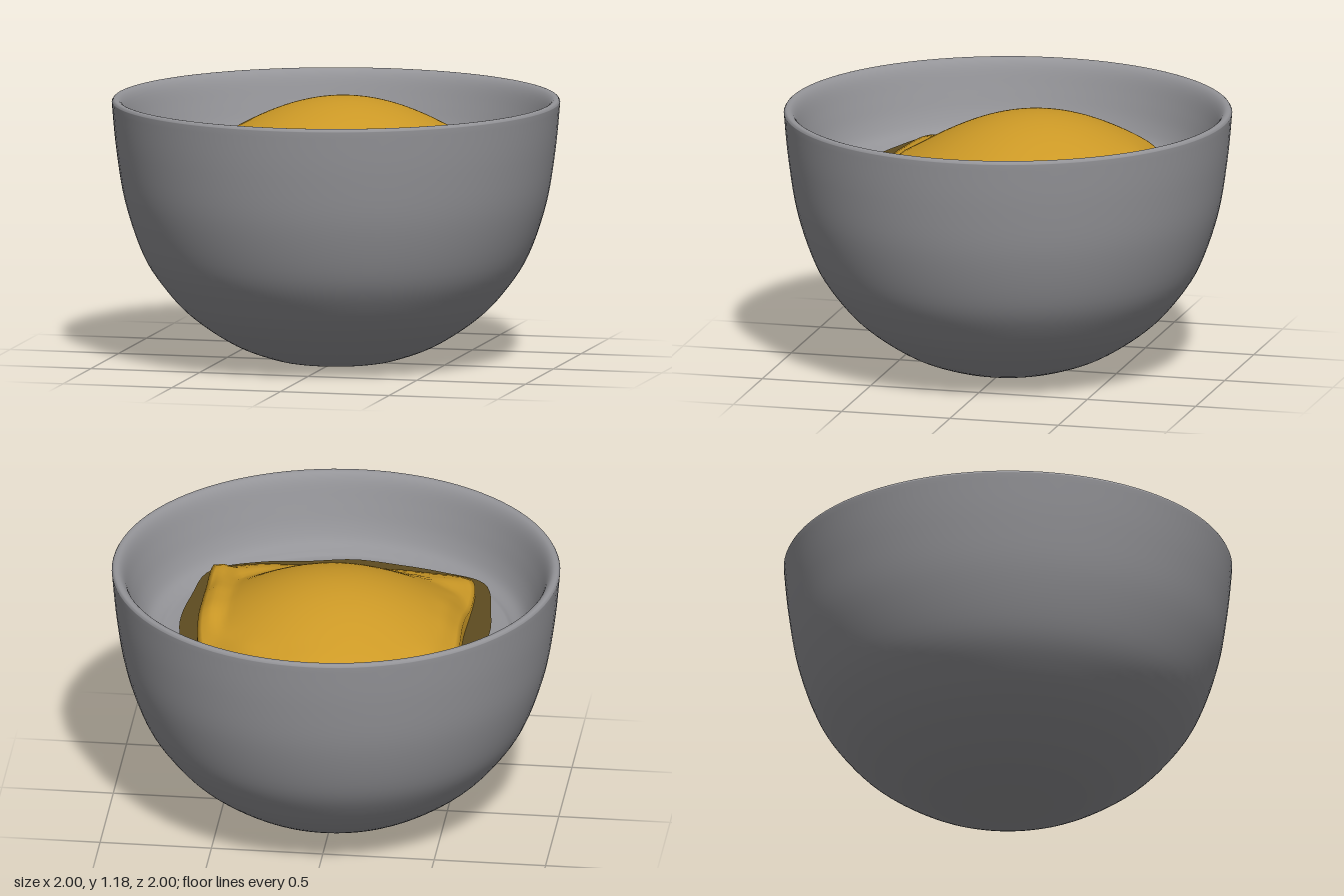
import * as THREE from 'three';

const CENTRE_Z = -0.08;

// Surface made of rings growing from a centre point to a smooth closed outline
function loftOutline(outline, rings, segments, height, skirtY) {
  const curve = new THREE.CatmullRomCurve3(
    outline.map(([x, z]) => new THREE.Vector3(x, 0, z)), true);
  const edge = Array.from({ length: segments }, (_, i) => curve.getPoint(i / segments));
  const pos = [];
  const index = [];
  const total = skirtY === undefined ? rings : rings + 1;
  for (let r = 0; r <= total; r++) {
    const s = Math.min(r / rings, 1);
    for (const p of edge) {
      const x = p.x * s;
      const z = CENTRE_Z + (p.z - CENTRE_Z) * s;
      pos.push(x, r > rings ? skirtY : height(x, z, s), z);
    }
  }
  for (let r = 0; r < total; r++) {
    for (let i = 0; i < segments; i++) {
      const j = (i + 1) % segments;
      const a = r * segments + i, b = r * segments + j;
      const c = a + segments, d = b + segments;
      if (r > 0) index.push(a, b, d);
      index.push(a, d, c);
    }
  }
  const geometry = new THREE.BufferGeometry();
  geometry.setAttribute('position', new THREE.Float32BufferAttribute(pos, 3));
  geometry.setIndex(index);
  geometry.computeVertexNormals();
  return geometry;
}

export function createModel() {
  const group = new THREE.Group();
  const material = (name, color) => new THREE.MeshStandardMaterial({ name, color });
  const grey = material('stone grey', 0x949498);
  const amber = material('amber', 0xcc9926);
  const brown = material('dark amber', 0x5e4c20);
  brown.side = THREE.DoubleSide;
  const step = THREE.MathUtils.smoothstep;

  const add = (name, geometry, mat) => {
    const mesh = new THREE.Mesh(geometry, mat);
    mesh.name = name;
    group.add(mesh);
  };

  // Bowl: rounded outside, soft rim, sloping inner wall and raised floor
  const outer = new THREE.SplineCurve([
    [0.2, 0.005], [0.29, 0.02], [0.46, 0.085], [0.64, 0.205], [0.76, 0.33],
    [0.86, 0.485], [0.94, 0.72], [0.98, 0.96], [1, 1.17],
  ].map(p => new THREE.Vector2(...p))).getPoints(40);
  const inner = new THREE.SplineCurve([
    [1, 1.17], [0.99, 1.183], [0.965, 1.178], [0.94, 1.14], [0.91, 1.05],
    [0.878, 0.96], [0.84, 0.895], [0.79, 0.865], [0.74, 0.85], [0.5, 0.845],
  ].map(p => new THREE.Vector2(...p))).getPoints(40);
  add('bowl', new THREE.LatheGeometry([
    new THREE.Vector2(0, 0), ...outer, ...inner.slice(1), new THREE.Vector2(0, 0.845),
  ], 96), grey);

  // Dark sheet spread under the filling, lifted slightly at its back left corner
  const sheetOutline = [
    [-0.57, -0.58], [-0.5, -0.66], [-0.38, -0.72], [0, -0.74], [0.4, -0.72],
    [0.52, -0.68], [0.6, -0.57], [0.65, -0.32], [0.7, -0.02], [0.68, 0.25],
    [0.62, 0.52], [0.4, 0.63], [0.2, 0.66], [0, 0.7], [-0.2, 0.67],
    [-0.4, 0.62], [-0.6, 0.53], [-0.67, 0.22], [-0.685, 0], [-0.63, -0.3],
  ];
  add('fillingSheet', loftOutline(sheetOutline, 12, 120, (x, z, s) =>
    0.878 + 0.07 * step(s, 0.8, 1) * Math.exp(-((x - 0.5) ** 2 + (z + 0.68) ** 2) / 0.03)
  ), brown);

  // Filling: a broad dome set towards the back of a softly squared pad
  const fillingOutline = [
    [-0.56, -0.42], [-0.4, -0.6], [-0.2, -0.69], [0, -0.71], [0.25, -0.68],
    [0.42, -0.56], [0.56, -0.42], [0.595, 0], [0.585, 0.46], [0.53, 0.53],
    [0, 0.575], [-0.52, 0.53], [-0.565, 0.47], [-0.575, 0],
  ];
  const fillingHeight = (x, z, s) => {
    const r = Math.hypot(x, z + 0.13) / 0.68;
    const dome = 0.25 * Math.max(0, 1 - r * r) ** 1.25;
    const flap = 0.07 * step(x, 0.46, 0.57) * step(z, -0.5, -0.2) * (1 - step(z, 0.36, 0.54));
    const edge = 0.025 * step(s, 0.85, 1);
    const wrinkle = 0.004 * step(s, 0.7, 0.9) * Math.sin(17 * x + 9 * z) * Math.cos(21 * z - 5 * x);
    return 0.925 + dome + flap - edge + wrinkle;
  };
  add('filling', loftOutline(fillingOutline, 30, 120, fillingHeight, 0.86), amber);

  return group;
}
